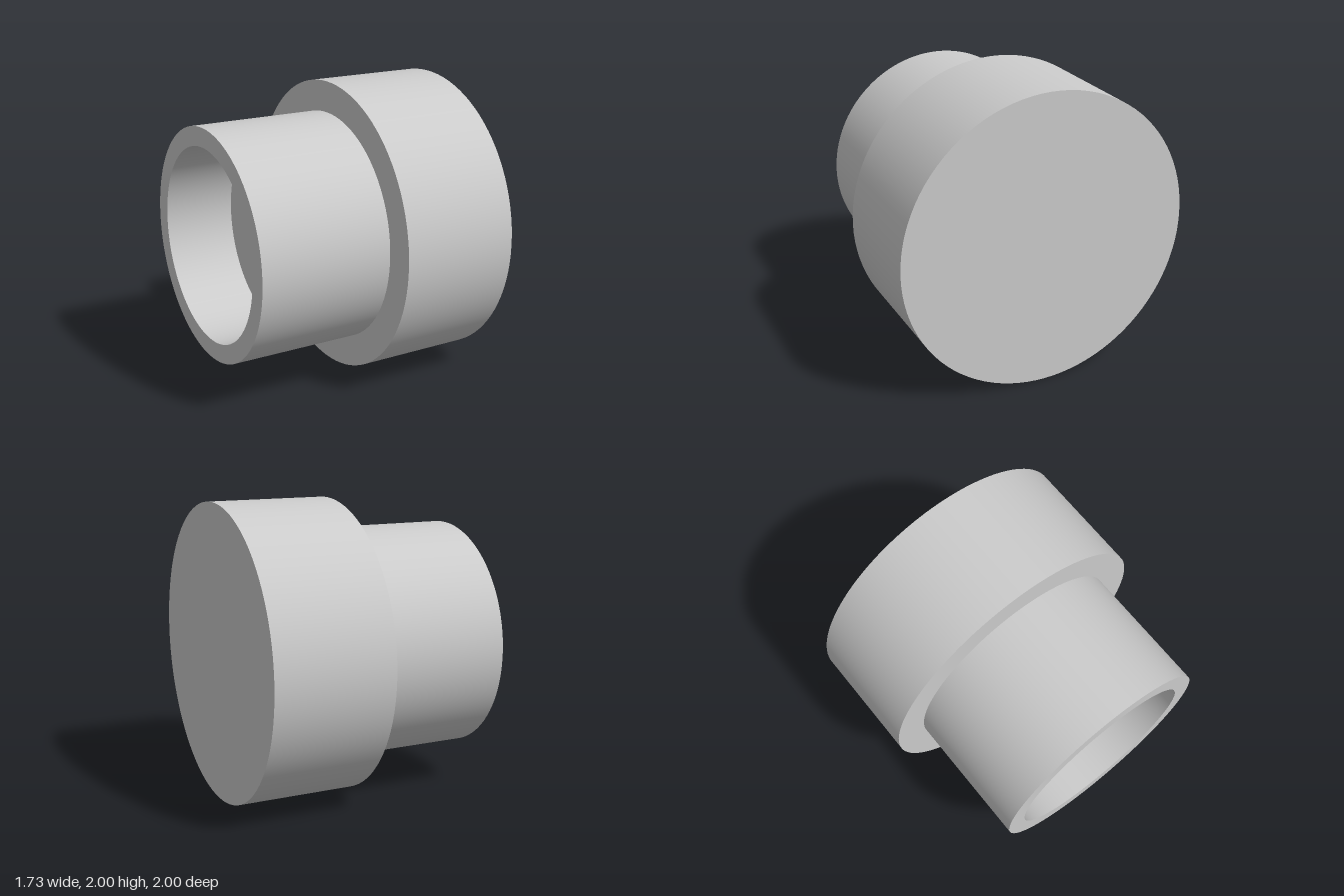
import * as THREE from 'three';
import { mergeGeometries } from 'three/addons/utils/BufferGeometryUtils.js';

const SEGMENTS = 96;
const material = new THREE.MeshStandardMaterial({ color: 0xcccccc });

// Revolves a [radius, position] profile around x; each span is its own lathe, so corners stay sharp
function turnedPart(name, profile) {
  const spans = profile.slice(1).map((end, i) =>
    new THREE.LatheGeometry([profile[i], end].map(([r, p]) => new THREE.Vector2(r, p)), SEGMENTS));
  const geometry = mergeGeometries(spans).rotateZ(-Math.PI / 2);
  const mesh = new THREE.Mesh(geometry, material);
  mesh.name = name;
  return mesh;
}

export function createModel() {
  const half = 0.865;       // half the overall length
  const shoulder = 0.05;    // where the sleeve meets the head
  const floor = -0.37;      // bottom of the blind bore
  const boreRadius = 0.66, sleeveRadius = 0.79, headRadius = 1;

  const group = new THREE.Group();
  group.name = 'steppedCap';

  // Narrow sleeve with a blind bore: floor, bore wall, end rim, outer wall
  group.add(turnedPart('sleeve', [
    [0, floor], [boreRadius, floor], [boreRadius, -half],
    [sleeveRadius, -half], [sleeveRadius, shoulder],
  ]));

  // Wide solid head: shoulder ring, outer wall, closed end
  group.add(turnedPart('head', [
    [sleeveRadius, shoulder], [headRadius, shoulder], [headRadius, half], [0, half],
  ]));

  // Rest on the ground
  group.children.forEach((part) => { part.position.y = headRadius; });
  return group;
}
